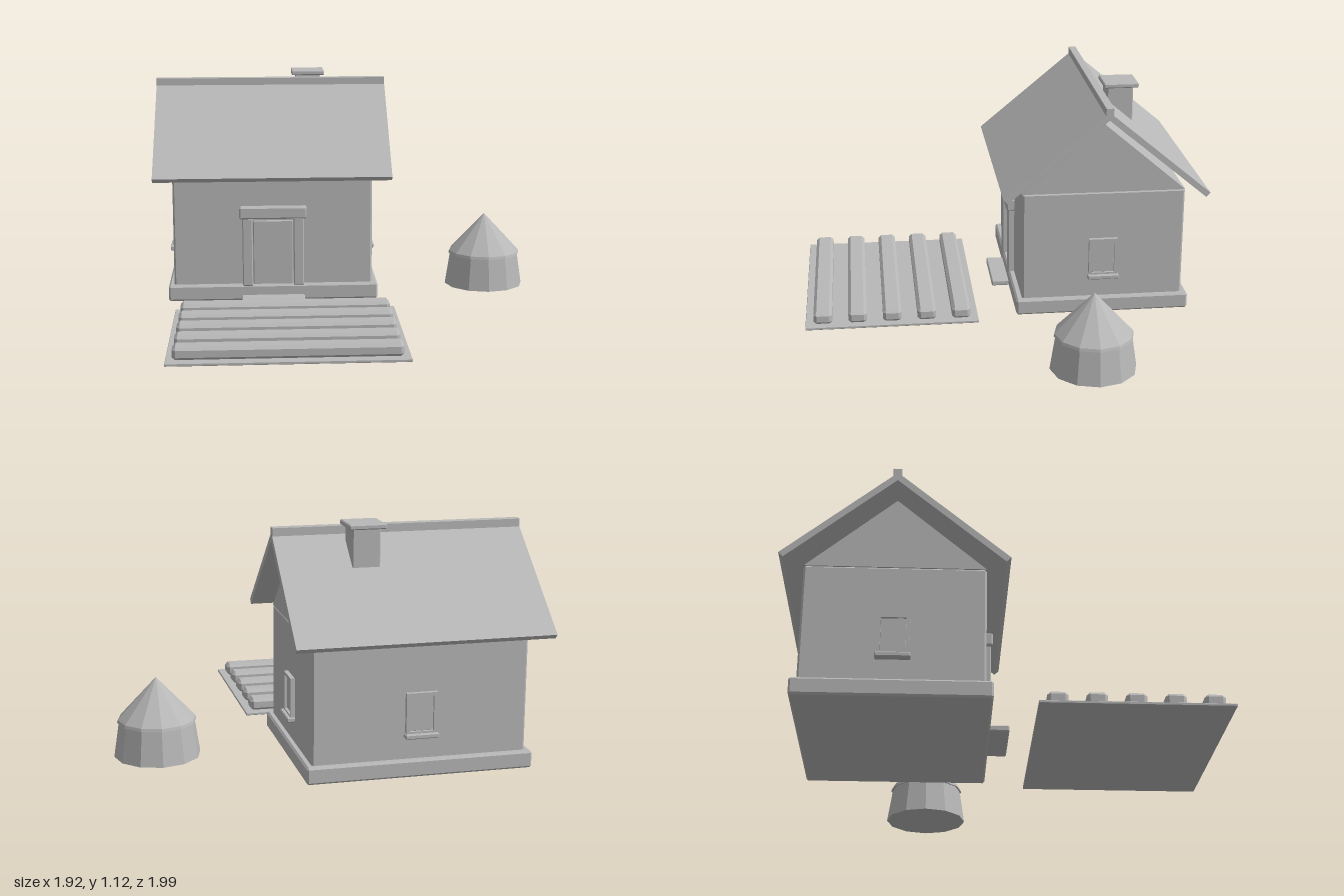
import * as THREE from 'three';
import { ConvexGeometry } from 'three/addons/geometries/ConvexGeometry.js';

const clay = new THREE.MeshStandardMaterial({ color: 0xb8b8b8 });
clay.name = 'plain grey';

// Centre of the house on the ground
const CX = -0.365, CZ = -0.485;

function add(parent, name, geometry, x = 0, y = 0, z = 0) {
  const mesh = new THREE.Mesh(geometry, clay);
  mesh.name = name;
  mesh.position.set(x, y, z);
  parent.add(mesh);
  return mesh;
}

// Box with chamfered edges, given by its limits on each axis
function block(parent, name, [x0, x1], [y0, y1], [z0, z1], c = 0.006) {
  const h = [(x1 - x0) / 2, (y1 - y0) / 2, (z1 - z0) / 2];
  const points = [];
  for (const sx of [-1, 1]) for (const sy of [-1, 1]) for (const sz of [-1, 1]) {
    for (let full = 0; full < 3; full++) {
      const p = h.map((v, i) => (i === full ? v : v - c));
      points.push(new THREE.Vector3(p[0] * sx, p[1] * sy, p[2] * sz));
    }
  }
  return add(parent, name, new ConvexGeometry(points), (x0 + x1) / 2, (y0 + y1) / 2, (z0 + z1) / 2);
}

// Profile of (depth, height) points drawn along x
function prism(parent, name, profile, x0, x1) {
  const shape = new THREE.Shape(profile.map(([d, y]) => new THREE.Vector2(d, y)));
  const geometry = new THREE.ExtrudeGeometry(shape, { depth: x1 - x0, bevelEnabled: false });
  geometry.rotateY(Math.PI / 2);
  return add(parent, name, geometry, x0, 0, CZ);
}

// Framed window facing local +z, with its wall at z = 0
function makeWindow(name) {
  const group = new THREE.Group();
  group.name = name;
  const w = 0.072, y0 = 0.195, y1 = 0.39, t = 0.016;
  const outline = new THREE.Shape([[-w, y0], [w, y0], [w, y1], [-w, y1]].map(p => new THREE.Vector2(...p)));
  outline.holes.push(new THREE.Path(
    [[-w + t, y0 + t], [-w + t, y1 - t], [w - t, y1 - t], [w - t, y0 + t]].map(p => new THREE.Vector2(...p))));
  add(group, 'windowFrame', new THREE.ExtrudeGeometry(outline, { depth: 0.02, bevelEnabled: false }));
  block(group, 'windowPane', [-w + t, w - t], [y0 + t, y1 - t], [-0.005, 0.008], 0.001);
  block(group, 'windowSill', [-w - 0.006, w + 0.006], [0.18, 0.202], [-0.005, 0.037], 0.004);
  return group;
}

function makeHouse() {
  const house = new THREE.Group();
  house.name = 'house';

  // Plinth, walls and doorstep
  block(house, 'plinth', [-0.895, 0.165], [0, 0.08], [-0.92, -0.05], 0.009);
  block(house, 'walls', [-0.867, 0.137], [0.07, 0.633], [-0.89, -0.08], 0.009);
  block(house, 'doorstep', [-0.525, -0.207], [0, 0.028], [-0.06, 0.037], 0.005);

  // Attic and roof
  prism(house, 'attic', [[-0.405, 0.632], [0.405, 0.632], [0, 0.976]], -0.867, 0.137);
  prism(house, 'roof',
    [[-0.488, 0.622], [0, 1.027], [0.488, 0.622], [0.509, 0.643], [0, 1.066], [-0.509, 0.643]], -0.96, 0.23);
  block(house, 'ridgeBeam', [-0.96, 0.23], [1.045, 1.088], [-0.506, -0.466], 0.002);

  // Chimney
  block(house, 'chimney', [-0.235, -0.105], [0.75, 1.1], [-0.662, -0.532], 0.004);
  block(house, 'chimneyCap', [-0.256, -0.084], [1.094, 1.118], [-0.686, -0.512], 0.005);

  // Door with posts and lintel
  block(house, 'door', [-0.466, -0.264], [0.075, 0.408], [-0.09, -0.07], 0.004);
  for (const side of [-1, 1]) {
    const x = CX + side * 0.129;
    block(house, 'doorPost', [x - 0.026, x + 0.026], [0.075, 0.425], [-0.09, -0.047], 0.005);
  }
  block(house, 'doorLintel', [-0.535, -0.196], [0.422, 0.483], [-0.09, -0.038], 0.007);

  // One window on each side wall and one at the back
  [['leftWindow', 0.137, CZ, Math.PI / 2], ['rightWindow', -0.867, CZ, -Math.PI / 2],
    ['backWindow', CX, -0.89, Math.PI]].forEach(([name, x, z, turn]) => {
    const win = makeWindow(name);
    win.position.set(x, 0, z);
    win.rotation.y = turn;
    house.add(win);
  });
  return house;
}

function makeGarden() {
  const garden = new THREE.Group();
  garden.name = 'gardenPlot';
  block(garden, 'soil', [-0.85, 0.23], [0, 0.013], [0.145, 1], 0.002);
  for (let i = 0; i < 5; i++) {
    const z = 0.23 + i * 0.171;
    block(garden, 'plantingRow', [-0.82, 0.198], [0.01, 0.072], [z - 0.046, z + 0.046], 0.015);
  }
  return garden;
}

function makeHaystack() {
  const stack = new THREE.Group();
  stack.name = 'haystack';
  stack.position.set(0.752, 0, -0.338);
  const body = new THREE.CylinderGeometry(0.178, 0.204, 0.17, 12).toNonIndexed();
  const rim = new THREE.CylinderGeometry(0.183, 0.187, 0.014, 12).toNonIndexed();
  const top = new THREE.ConeGeometry(0.183, 0.197, 12).toNonIndexed();
  for (const g of [body, rim, top]) g.computeVertexNormals();
  add(stack, 'stackBody', body, 0, 0.085, 0);
  add(stack, 'stackRim', rim, 0, 0.172, 0);
  add(stack, 'stackTop', top, 0, 0.2775, 0);
  return stack;
}

export function createModel() {
  const model = new THREE.Group();
  model.name = 'farmstead';
  model.add(makeHouse(), makeGarden(), makeHaystack());
  return model;
}
